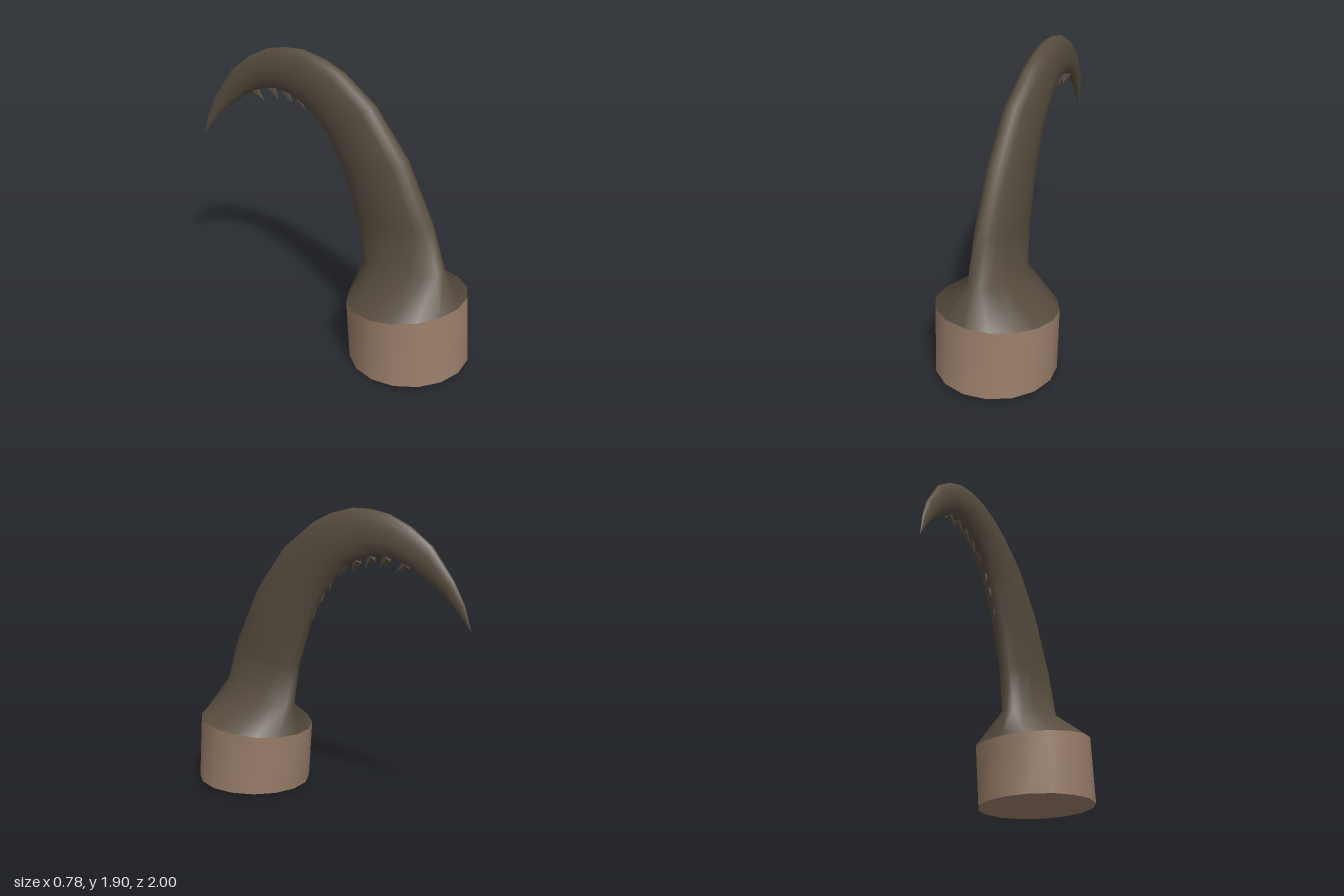
import * as THREE from 'three';

const SIDES = 16;

// Ring: [outer z, outer y, inner z, inner y, centre x, half width]
const BASE = [
  [1.0, 0.03, 0.23, 0.0, 0, 0.39],
  [0.965, 0.49, 0.2, 0.39, 0, 0.39],
];
const CLAW = [
  BASE[1],
  [0.855, 0.70, 0.245, 0.58, -0.005, 0.115],
  [0.755, 0.99, 0.2, 0.86, -0.012, 0.11],
  [0.565, 1.36, 0.1, 1.16, -0.025, 0.102],
  [0.33, 1.65, -0.02, 1.38, -0.042, 0.092],
  [0.1, 1.81, -0.13, 1.5, -0.055, 0.085],
  [-0.04, 1.87, -0.22, 1.56, -0.067, 0.08],
  [-0.2, 1.905, -0.32, 1.6, -0.083, 0.073],
  [-0.33, 1.9, -0.42, 1.615, -0.1, 0.067],
  [-0.47, 1.87, -0.53, 1.595, -0.117, 0.06],
  [-0.61, 1.8, -0.64, 1.54, -0.138, 0.05],
  [-0.75, 1.69, -0.725, 1.48, -0.162, 0.042],
  [-0.89, 1.49, -0.82, 1.4, -0.19, 0.028],
  [-0.955, 1.35, -0.91, 1.3, -0.212, 0.016],
  [-0.995, 1.19, -0.995, 1.19, -0.23, 0.001],
];

// Skin of oval cross-sections
function loft(rings) {
  const pos = [], idx = [];
  for (const [oz, oy, iz, iy, cx, w] of rings) {
    for (let j = 0; j < SIDES; j++) {
      const a = (j / SIDES) * Math.PI * 2, c = Math.cos(a);
      pos.push(
        cx + Math.sin(a) * w,
        (oy + iy) / 2 + c * (oy - iy) / 2,
        (oz + iz) / 2 + c * (oz - iz) / 2);
    }
  }
  for (let i = 0; i < rings.length - 1; i++) {
    for (let j = 0; j < SIDES; j++) {
      const k = (j + 1) % SIDES;
      const a = i * SIDES + j, b = i * SIDES + k;
      idx.push(a, b, b + SIDES, a, b + SIDES, a + SIDES);
    }
  }
  const g = new THREE.BufferGeometry();
  g.setAttribute('position', new THREE.Float32BufferAttribute(pos, 3));
  g.setIndex(idx);
  g.computeVertexNormals();
  return g;
}

// Flat underside closing the first ring
function underside([oz, oy, iz, iy, cx, w]) {
  const g = new THREE.CircleGeometry(1, SIDES);
  const p = g.attributes.position;
  for (let i = 0; i < p.count; i++) {
    const c = p.getX(i), s = p.getY(i);
    p.setXYZ(i, cx - s * w, (oy + iy) / 2 + c * (oy - iy) / 2, (oz + iz) / 2 + c * (oz - iz) / 2);
  }
  g.computeVertexNormals();
  return g;
}

// Small backward-pointing barb from a root to a tip in the claw's plane
function barb(x, root, tip, radius, material) {
  const from = new THREE.Vector3(x, root[1], root[0]);
  const to = new THREE.Vector3(x, tip[1], tip[0]);
  const dir = to.clone().sub(from);
  const g = new THREE.ConeGeometry(radius, dir.length(), 5).toNonIndexed();
  g.scale(0.6, 1, 1);
  g.computeVertexNormals();
  const m = new THREE.Mesh(g, material);
  m.name = 'barb';
  m.position.copy(from).add(to).multiplyScalar(0.5);
  m.quaternion.setFromUnitVectors(new THREE.Vector3(0, 1, 0), dir.normalize());
  return m;
}

export function createModel() {
  const horn = new THREE.MeshStandardMaterial({ color: 0x574c3f });
  horn.name = 'dark horn';
  const flesh = new THREE.MeshStandardMaterial({ color: 0x9a7e69 });
  flesh.name = 'tan base';

  const model = new THREE.Group();
  model.name = 'hookedClaw';
  const add = (name, geometry, material) => {
    const mesh = new THREE.Mesh(geometry, material);
    mesh.name = name;
    model.add(mesh);
  };
  add('base', loft(BASE), flesh);
  add('baseUnderside', underside(BASE[0]), flesh);
  add('claw', loft(CLAW), horn);

  // Barbs under the hook: centre x, root, tip
  const barbs = new THREE.Group();
  barbs.name = 'barbs';
  for (const [x, root, tip] of [
    [-0.055, [-0.16, 1.55], [-0.125, 1.475]],
    [-0.067, [-0.26, 1.585], [-0.212, 1.51]],
    [-0.083, [-0.365, 1.61], [-0.3, 1.535]],
    [-0.1, [-0.47, 1.61], [-0.405, 1.545]],
    [-0.125, [-0.595, 1.575], [-0.51, 1.52]],
  ]) barbs.add(barb(x, root, tip, 0.036, horn));

  // Tiny barbs lying close along the inner stem
  for (const [x, z, y] of [
    [-0.048, -0.06, 1.44], [-0.04, 0.0, 1.36], [-0.03, 0.065, 1.25],
    [-0.012, 0.215, 0.84], [-0.008, 0.235, 0.72],
  ]) barbs.add(barb(x, [z + 0.01, y], [z + 0.012, y - 0.07], 0.022, horn));
  model.add(barbs);
  return model;
}
